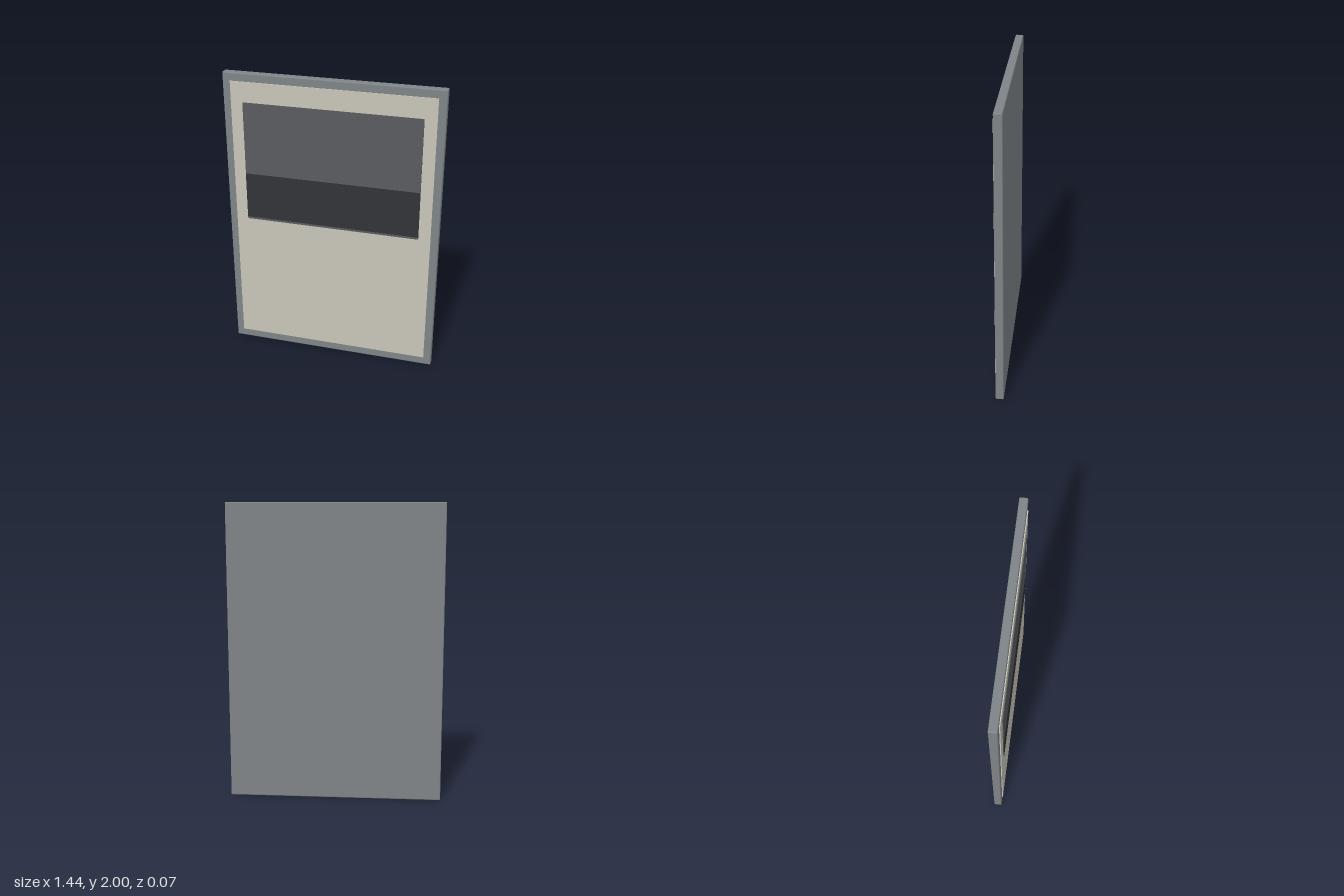
import * as THREE from 'three';
import { RoundedBoxGeometry } from 'three/addons/geometries/RoundedBoxGeometry.js';

export function createModel() {
  const model = new THREE.Group();
  model.name = 'wallPanel';

  const add = (name, geometry, color, y, z) => {
    const mesh = new THREE.Mesh(geometry, new THREE.MeshStandardMaterial({ color }));
    mesh.name = name;
    mesh.position.set(0, y, z);
    model.add(mesh);
  };

  // thin sheet spanning y0..y1 and z0..z1, centred on x
  const sheet = (name, width, y0, y1, z0, z1, color) =>
    add(name, new THREE.BoxGeometry(width, y1 - y0, z1 - z0), color, (y0 + y1) / 2, (z0 + z1) / 2);

  // backing slab with softened edges
  add('backingBoard', new RoundedBoxGeometry(1.44, 2, 0.054, 2, 0.008), 0x7f8488, 1, -0.006);

  // raised layers on the front
  sheet('paperSheet', 1.336, 0.06, 1.945, 0.018, 0.027, 0xc8c5b8);
  sheet('greyPanel', 1.176, 0.985, 1.81, 0.025, 0.0315, 0x5a5b5f);
  sheet('darkBand', 1.176, 1.0, 1.318, 0.03, 0.033, 0x323338);

  return model;
}
